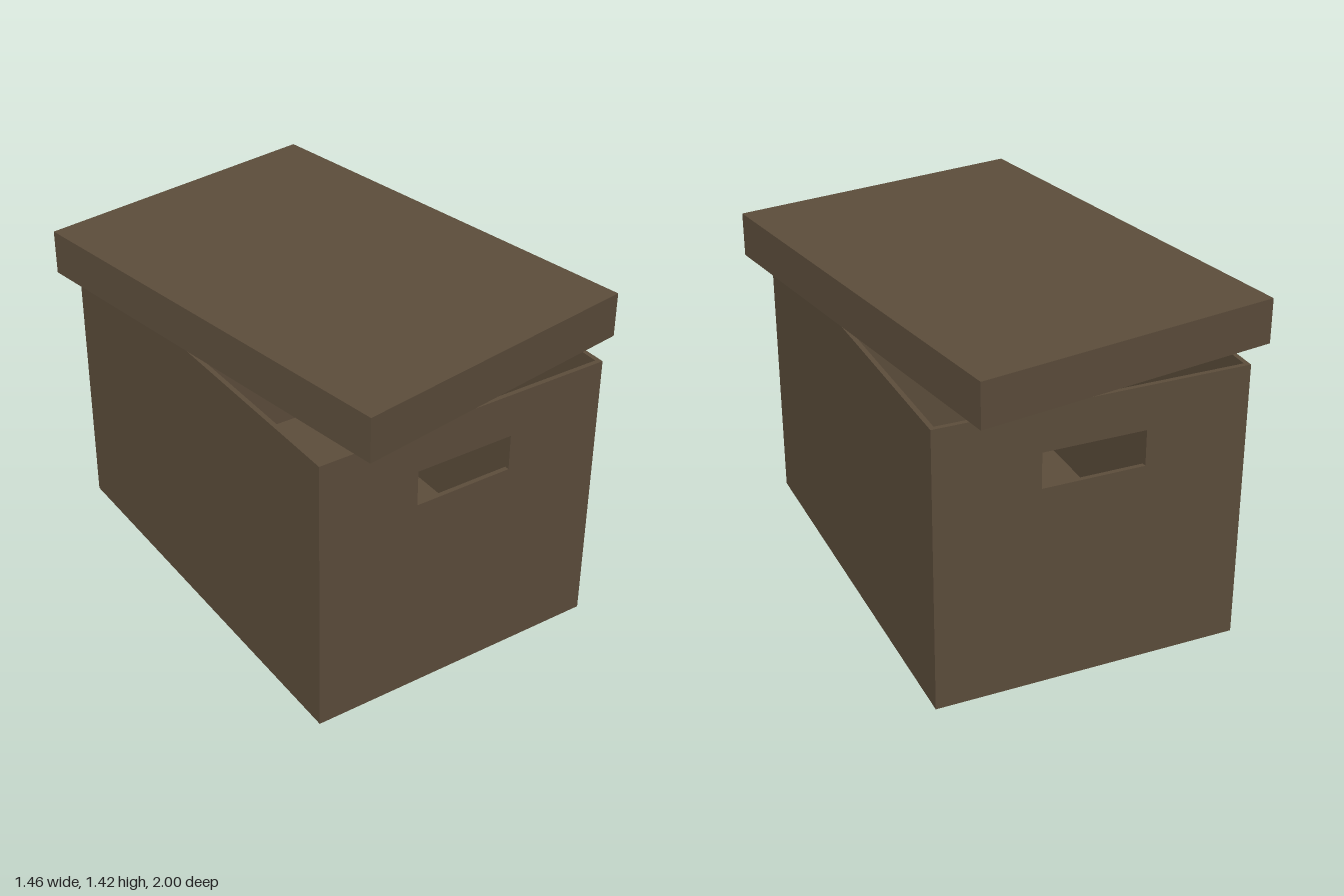
import * as THREE from 'three';

const cardboard = new THREE.MeshStandardMaterial({ color: 0x5c4d3b });
cardboard.name = 'brown cardboard';

function add(group, name, geometry, x, y, z) {
  const mesh = new THREE.Mesh(geometry, cardboard);
  mesh.name = name;
  mesh.position.set(x, y, z);
  group.add(mesh);
}

// Upright end panel, its base at y = 0, with an optional hand hole
function endPanel(width, height, depth, hole) {
  const shape = new THREE.Shape();
  shape.moveTo(-width / 2, 0);
  shape.lineTo(width / 2, 0);
  shape.lineTo(width / 2, height);
  shape.lineTo(-width / 2, height);
  shape.closePath();
  if (hole) {
    const path = new THREE.Path();
    path.moveTo(-hole.half, hole.bottom);
    path.lineTo(-hole.half, hole.top);
    path.lineTo(hole.half, hole.top);
    path.lineTo(hole.half, hole.bottom);
    path.closePath();
    shape.holes.push(path);
  }
  const geometry = new THREE.ExtrudeGeometry(shape, { depth, bevelEnabled: false });
  return geometry.translate(0, 0, -depth / 2);
}

// Hollow tray: one flat panel at the bottom or top, and four walls
function tray({ name, w, h, l, t, closedTop, hole }) {
  const group = new THREE.Group();
  group.name = name;
  const base = closedTop ? 0 : t;
  add(group, closedTop ? 'lidTop' : 'boxFloor', new THREE.BoxGeometry(w, t, l),
    0, closedTop ? h - t / 2 : t / 2, 0);
  for (const s of [1, -1]) {
    add(group, name + (s > 0 ? 'LeftWall' : 'RightWall'),
      new THREE.BoxGeometry(t, h - t, l), s * (w - t) / 2, base + (h - t) / 2, 0);
    const local = hole && { ...hole, bottom: hole.bottom - base, top: hole.top - base };
    add(group, name + (s > 0 ? 'FrontWall' : 'BackWall'),
      endPanel(w - 2 * t, h - t, t, local), 0, base, s * (l - t) / 2);
  }
  return group;
}

export function createModel() {
  const model = new THREE.Group();
  model.name = 'storageBox';

  // Open box with a hand hole in each end
  const box = tray({
    name: 'box', w: 1.304, h: 1.215, l: 1.89, t: 0.02,
    hole: { half: 0.216, bottom: 0.875, top: 1.028 },
  });
  box.rotation.y = -0.083;
  model.add(box);

  // Thin lid, turned the other way and sitting just above the rim
  const lid = tray({ name: 'lid', w: 1.318, h: 0.19, l: 1.908, t: 0.005, closedTop: true });
  lid.position.y = 1.23;
  lid.rotation.y = 0.073;
  model.add(lid);

  return model;
}
